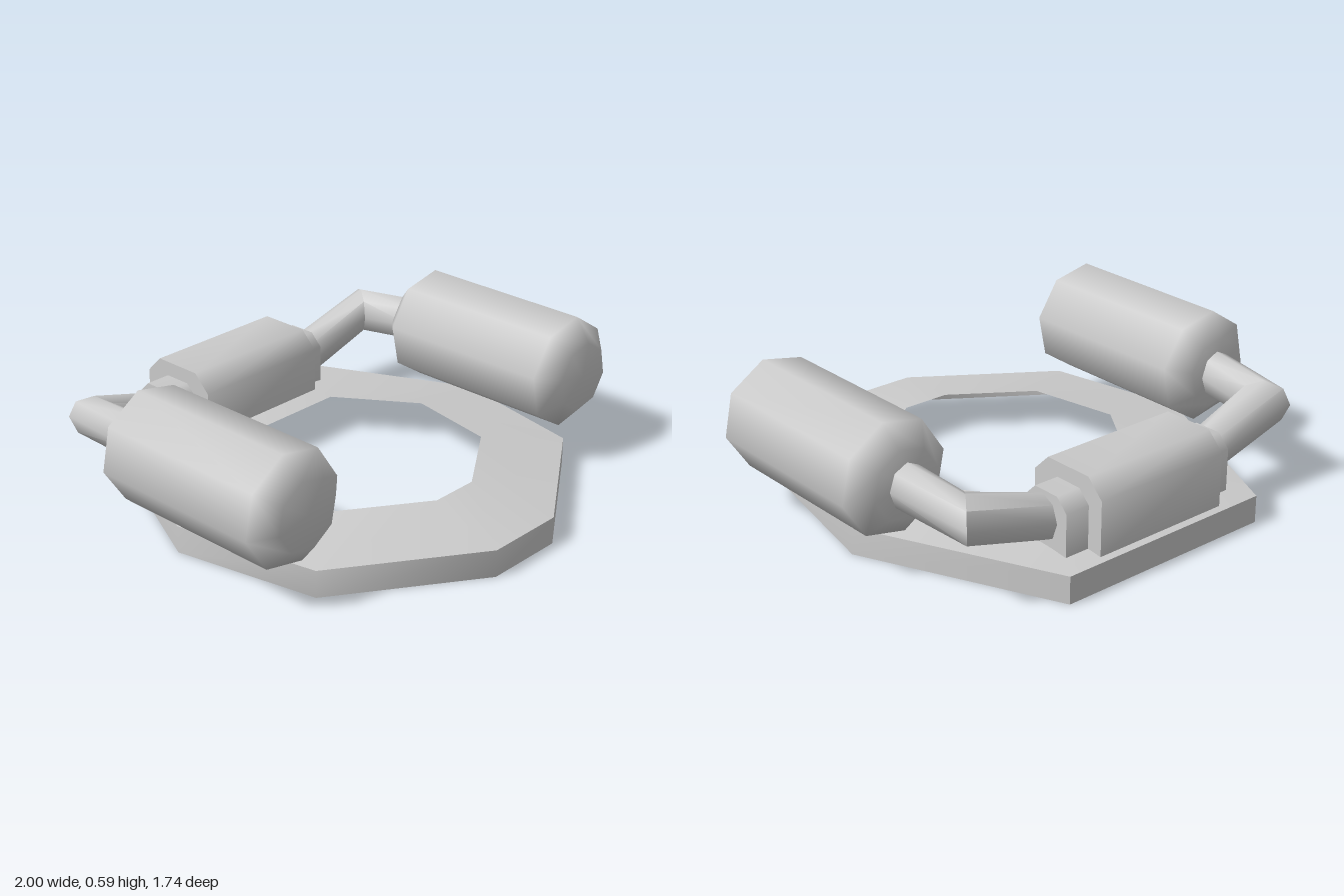
import * as THREE from 'three';
import { toCreasedNormals } from 'three/addons/utils/BufferGeometryUtils.js';

const material = new THREE.MeshStandardMaterial({ color: 0xcccccc, side: THREE.DoubleSide });

function part(name, geometry) {
  const mesh = new THREE.Mesh(geometry, material);
  mesh.name = name;
  return mesh;
}

// Mirrors half an outline (x > 0, back to front) into a full closed loop
function fullLoop(half) {
  return [...half, ...half.map(([x, z]) => [-x, z]).reverse()];
}

// Open shell ring: outer wall, then a gently rising top to the hole's edge
function baseRing() {
  const outer = fullLoop([[0.47, -0.87], [0.83, -0.09], [0.71, 0.5], [0.165, 0.87]]);
  const inner = fullLoop([[0.275, -0.375], [0.485, -0.06], [0.415, 0.315], [0.1, 0.53]]);
  const rows = [[outer, 0], [outer, 0.11], [inner, 0.16]];
  const n = outer.length, positions = [], index = [];
  for (const [loop, y] of rows) for (const [x, z] of loop) positions.push(x, y, z);
  for (let r = 0; r < rows.length - 1; r++) {
    for (let i = 0; i < n; i++) {
      const a = r * n + i, b = r * n + (i + 1) % n;
      index.push(a, a + n, b, b, a + n, b + n);
    }
  }
  const g = new THREE.BufferGeometry();
  g.setAttribute('position', new THREE.Float32BufferAttribute(positions, 3));
  g.setIndex(index);
  return toCreasedNormals(g, 1.0);
}

// Bevel-topped housing extruded along x
function housing(halfWidth, back, front, top, bevel) {
  const base = 0.11;
  const shape = new THREE.Shape([
    [-front, base], [-back, base], [-back, top - bevel], [-back - bevel, top],
    [-front + bevel, top], [-front, top - bevel],
  ].map(([a, b]) => new THREE.Vector2(a, b)));
  const g = new THREE.ExtrudeGeometry(shape, { depth: halfWidth * 2, bevelEnabled: false });
  g.translate(0, 0, -halfWidth);
  g.rotateY(Math.PI / 2); // shape x becomes -z
  return toCreasedNormals(g, 0.9);
}

// Eight-sided pod with chamfered ends, lying along z
function podGeometry() {
  const profile = [[0, -0.36], [0.14, -0.36], [0.227, -0.285], [0.227, 0.455], [0.14, 0.53], [0, 0.53]]
    .map(([r, y]) => new THREE.Vector2(r, y));
  const g = new THREE.LatheGeometry(profile, 8, THREE.MathUtils.degToRad(34.3));
  g.rotateX(Math.PI / 2);
  g.translate(0.776, 0.368, 0);
  return g;
}

// Bent arm: a tube with a mitred elbow, from the pod to the housing
function armGeometry() {
  const stations = [
    { p: [0.778, 0.365, -0.3], v: [0.08, 0] },
    { p: [0.742, 0.335, -0.64], v: [0.063, -0.083] },
    { p: [0.36, 0.22, -0.65], v: [0, -0.078] },
  ];
  const g = new THREE.CylinderGeometry(1, 1, 2, 8, 2, true);
  const pos = g.attributes.position;
  for (let i = 0; i < pos.count; i++) {
    const { p, v } = stations[Math.round(1 - pos.getY(i))];
    const up = pos.getX(i), side = pos.getZ(i);
    pos.setXYZ(i, p[0] + v[0] * side, p[1] + 0.093 * up, p[2] + v[1] * side);
  }
  return toCreasedNormals(g, 0.95);
}

export function createModel() {
  const model = new THREE.Group();
  model.name = 'ringWithTwinPods';

  model.add(part('baseRing', baseRing()));
  model.add(part('mainHousing', housing(0.3, -0.84, -0.49, 0.4, 0.07)));
  model.add(part('housingCollar', housing(0.405, -0.775, -0.56, 0.34, 0.05)));

  // Matching pod and arm on each side
  const pod = podGeometry(), arm = armGeometry();
  for (const [side, sign] of [['left', 1], ['right', -1]]) {
    const assembly = new THREE.Group();
    assembly.name = side + 'PodAssembly';
    assembly.add(part(side + 'Pod', pod), part(side + 'Arm', arm));
    assembly.scale.x = sign;
    model.add(assembly);
  }
  return model;
}
